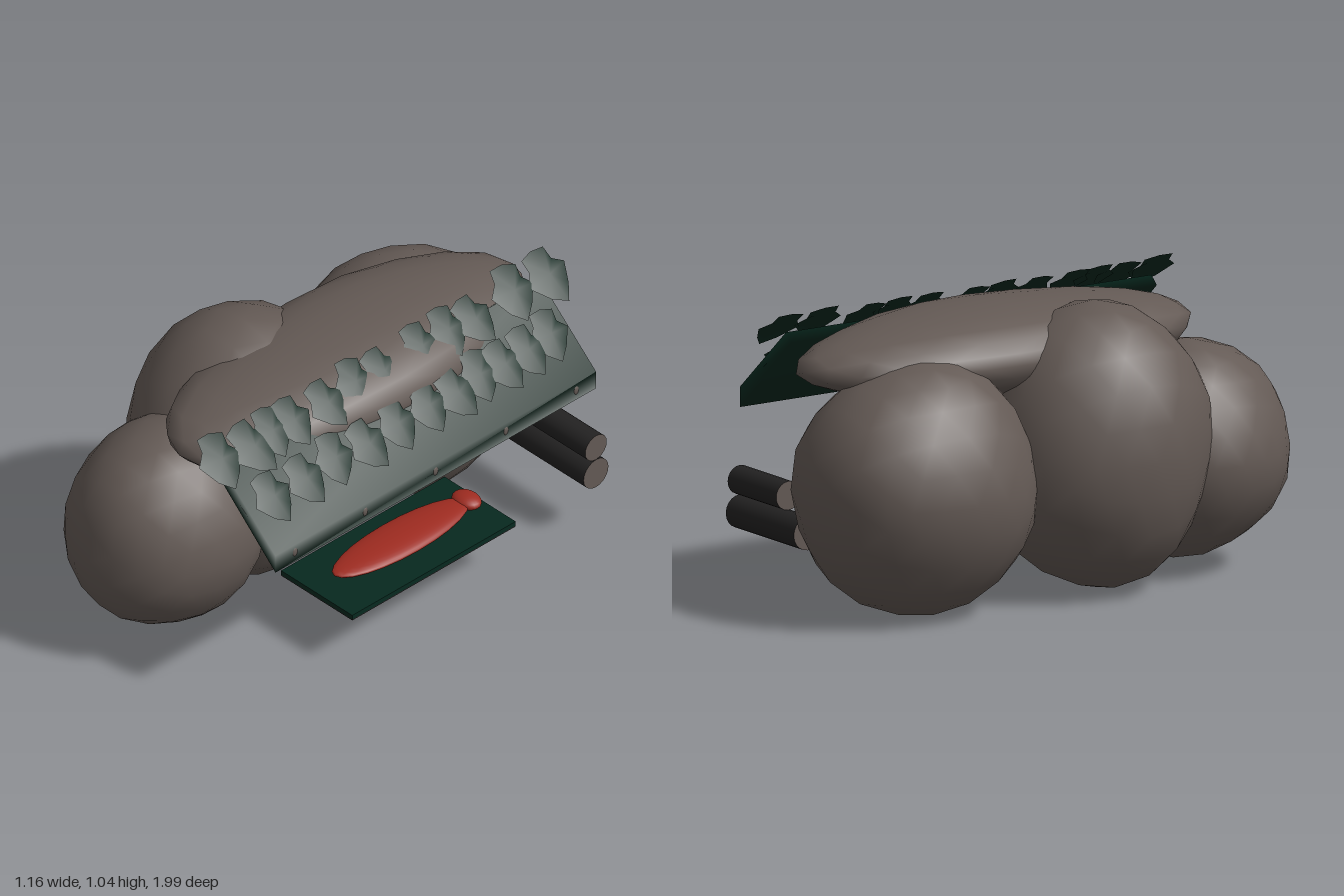
import * as THREE from 'three';
import { mergeVertices } from 'three/addons/utils/BufferGeometryUtils.js';

const mat = (name, color, side = THREE.FrontSide) => {
  const m = new THREE.MeshStandardMaterial({ color, side });
  m.name = name;
  return m;
};

// Weld the corners so the shading runs smoothly over them
const weld = (geo) => {
  geo.deleteAttribute('normal');
  geo.deleteAttribute('uv');
  geo.clearGroups();
  const welded = mergeVertices(geo, 1e-4);
  welded.computeVertexNormals();
  return welded;
};

export function createModel() {
  const group = new THREE.Group();
  const stone = mat('stone', 0x645a55);
  const green = mat('leaf green', 0x07291f, THREE.DoubleSide);
  const dark = mat('charred bark', 0x232222);
  const red = mat('red cloth', 0x9e2b20);

  const add = (name, geo, material, x = 0, y = 0, z = 0) => {
    const m = new THREE.Mesh(geo, material);
    m.name = name;
    m.position.set(x, y, z);
    group.add(m);
    return m;
  };

  // Boulders: smooth ellipsoids, gently dented by overlapping waves
  const boulder = (name, [x, y, z], [rx, ry, rz], seed) => {
    const geo = weld(new THREE.IcosahedronGeometry(1, 3));
    const p = geo.attributes.position;
    const v = new THREE.Vector3();
    for (let i = 0; i < p.count; i++) {
      v.fromBufferAttribute(p, i);
      const k = 1 + 0.012 * Math.sin(4 * v.x + seed) + 0.014 * Math.sin(5 * v.y + 2 * seed + 2 * v.z)
        + 0.012 * Math.sin(6 * v.z + 3 * seed);
      p.setXYZ(i, v.x * k * rx, v.y * k * ry, v.z * k * rz);
    }
    geo.computeVertexNormals();
    add(name, geo, stone, x, y, z);
  };
  boulder('frontBoulder', [-0.105, 0.44, 0.625], [0.352, 0.385, 0.37], 1);
  boulder('middleBoulder', [-0.175, 0.525, 0.185], [0.412, 0.51, 0.425], 2.3);
  boulder('backBoulder', [-0.14, 0.46, -0.55], [0.39, 0.46, 0.45], 4.1);
  boulder('capStone', [0.075, 0.87, -0.07], [0.345, 0.16, 0.81], 5.2);

  // Sloping lean-to roof with a plumb-cut lower edge
  const profile = new THREE.Shape([[0.262, 0.933], [0.58, 0.64], [0.58, 0.713], [0.295, 0.964]]
    .map(([x, y]) => new THREE.Vector2(x, y)));
  add('roofPanel', weld(new THREE.ExtrudeGeometry(profile, { depth: 1.55, bevelEnabled: false })), green, 0, 0, -0.8);

  // Small pegs along the lower roof edge
  for (let i = 0; i < 5; i++) {
    add('roofPeg', new THREE.SphereGeometry(1, 10, 8), stone, 0.576, 0.68, 0.655 - i * 0.34)
      .scale.set(0.008, 0.02, 0.014);
  }

  // Leaf: a lobed outline fanned around a raised middle
  const outline = [
    [-0.05, 0.085], [0, 0.095], [0.05, 0.085], [0.05, 0.04], [0.085, 0.01], [0.05, -0.055],
    [0.01, -0.105], [-0.04, -0.07], [-0.085, -0.005], [-0.052, 0.04],
  ];
  const leafGeo = new THREE.BufferGeometry();
  leafGeo.setAttribute('position', new THREE.Float32BufferAttribute(
    [0, 0, 0.018, ...outline.flatMap(([x, y]) => [x, y, 0])], 3));
  const n = outline.length;
  leafGeo.setIndex(outline.flatMap((_, i) => [0, (i + 1) % n + 1, i + 1]));
  leafGeo.computeVertexNormals();

  // Two rows of leaves laid on the slope
  const leafRow = (name, x, y, slope, zs, size) => zs.forEach((z, i) => {
    const wobble = Math.sin(i * 2.4 + x * 9);
    const up = new THREE.Vector3(-Math.cos(slope), Math.sin(slope), 0);
    const across = new THREE.Vector3(0, 0, -1);
    const out = across.clone().cross(up);
    const leaf = add(name, leafGeo, green, x + 0.008 * wobble, y - 0.006 * wobble, z);
    leaf.quaternion.setFromRotationMatrix(new THREE.Matrix4().makeBasis(across, up, out));
    leaf.rotateZ(0.22 * wobble);
    leaf.scale.setScalar(size(z));
  });
  leafRow('upperLeaf', 0.312, 0.98, 0.68,
    [-0.82, -0.66, -0.46, -0.34, -0.21, -0.02, 0.105, 0.25, 0.41, 0.51, 0.61, 0.755],
    z => (Math.abs(z) > 0.55 ? 1.1 : 0.98));
  leafRow('lowerLeaf', 0.455, 0.85, 0.74,
    [-0.7, -0.585, -0.47, -0.36, -0.24, -0.11, 0.04, 0.19, 0.34, 0.49, 0.645],
    () => 1);

  // Two stacked logs with pale cut ends
  [[0.28, 0.38, 0.052], [0.16, 0.267, 0.06]].forEach(([x0, y, r]) => {
    const log = add('log', new THREE.CylinderGeometry(r, r, 0.58 - x0, 20), [dark, stone, stone],
      (x0 + 0.58) / 2, y, -0.8);
    log.rotation.z = -Math.PI / 2;
  });

  // Sleeping mat with a dark underside
  add('sleepingMat', new THREE.BoxGeometry(0.36, 0.018, 0.79), green, 0.37, 0.219, -0.045);
  add('matUnderside', new THREE.BoxGeometry(0.36, 0.004, 0.79), dark, 0.37, 0.208, -0.045);

  // Red bedroll and its rounded pillow
  add('bedroll', new THREE.SphereGeometry(1, 24, 16), red, 0.37, 0.258, -0.055).scale.set(0.095, 0.025, 0.32);
  add('pillow', new THREE.SphereGeometry(1, 20, 14), red, 0.37, 0.259, -0.375).scale.set(0.06, 0.025, 0.046);

  return group;
}
